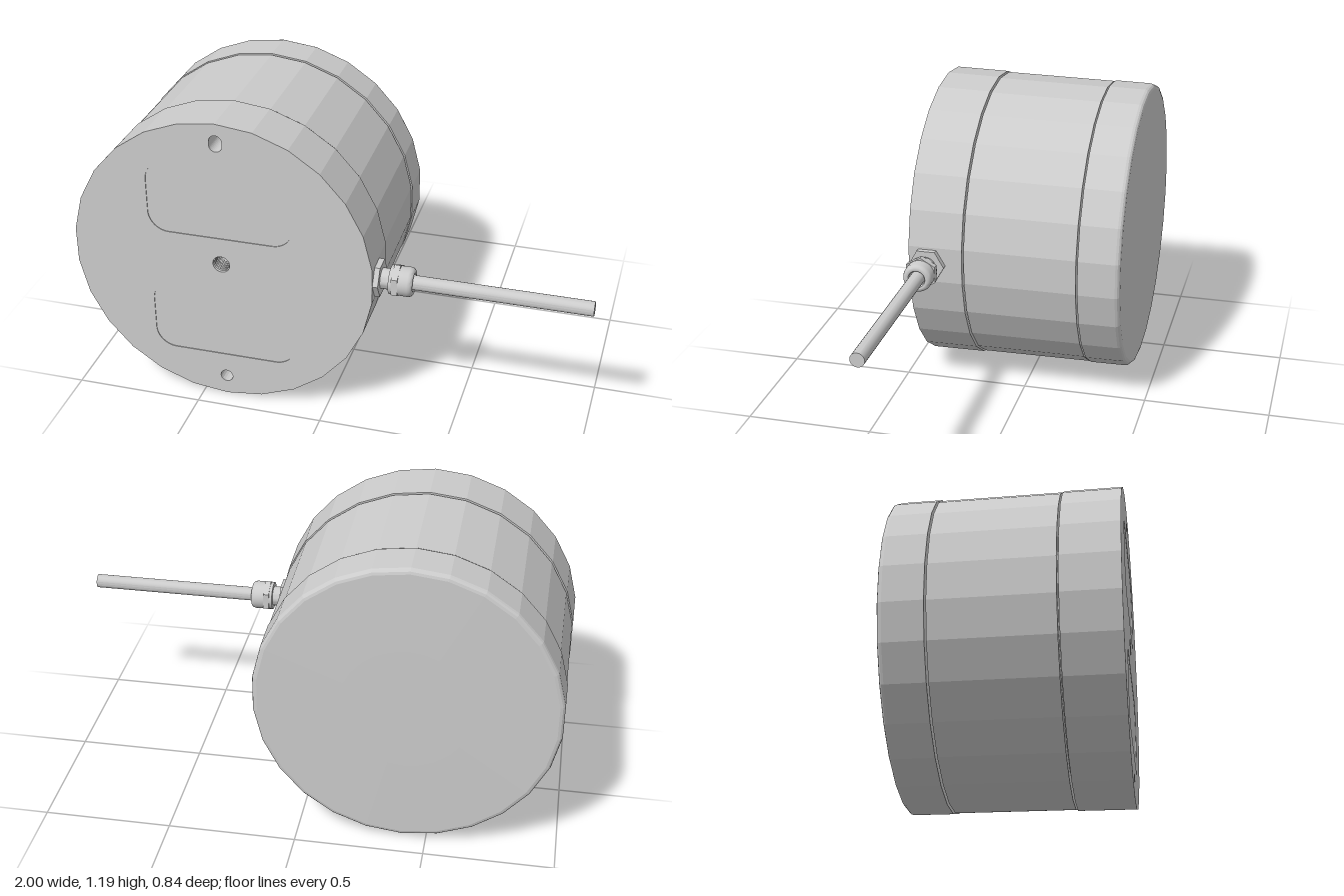
import * as THREE from 'three';
import { toCreasedNormals } from 'three/addons/utils/BufferGeometryUtils.js';

const CX = -0.405, CY = 0.6, SIDES = 26;
const GLAND_Z = 0.345;
const flat = new THREE.MeshStandardMaterial({ color: 0xcccccc, flatShading: true });
const smooth = new THREE.MeshStandardMaterial({ color: 0xcccccc });

function add(group, name, geometry, material = flat) {
  const mesh = new THREE.Mesh(geometry, material);
  mesh.name = name;
  group.add(mesh);
  return mesh;
}

const points = (list) => list.map(([r, h]) => new THREE.Vector2(r, h));

// Faceted disc outline with a vertex at top and bottom
function discShape(radius) {
  const pts = [];
  for (let i = 0; i < SIDES; i++) {
    const a = (i / SIDES) * Math.PI * 2;
    pts.push(new THREE.Vector2(Math.sin(a) * radius, -Math.cos(a) * radius));
  }
  return new THREE.Shape(pts);
}

function roundHole(x, y, r) {
  return new THREE.Path().absarc(x, y, r, 0, Math.PI * 2, true);
}

function slotHole(x, y, r, half) {
  const p = new THREE.Path();
  p.absarc(x, y + half, r, 0, Math.PI, false);
  p.absarc(x, y - half, r, Math.PI, Math.PI * 2, false);
  p.closePath();
  return p;
}

function pocketHole(w, y0, y1, r) {
  const p = new THREE.Path();
  p.absarc(w - r, y1 - r, r, 0, Math.PI / 2, false);
  p.absarc(-w + r, y1 - r, r, Math.PI / 2, Math.PI, false);
  p.absarc(-w + r, y0 + r, r, Math.PI, Math.PI * 1.5, false);
  p.absarc(w - r, y0 + r, r, Math.PI * 1.5, Math.PI * 2, false);
  p.closePath();
  return p;
}

function plate(radius, z0, z1, pockets) {
  const shape = discShape(radius);
  shape.holes.push(roundHole(0, 0.003, 0.034), roundHole(0, -0.513, 0.025), slotHole(0, 0.515, 0.025, 0.008));
  if (pockets) shape.holes.push(pocketHole(0.285, 0.115, 0.41, 0.08), pocketHole(0.285, -0.41, -0.115, 0.08));
  return new THREE.ExtrudeGeometry(shape, { depth: z1 - z0, bevelEnabled: false, curveSegments: 8 }).translate(0, 0, z0);
}

function createHousing() {
  const g = new THREE.Group();
  g.name = 'housing';
  g.position.set(CX, CY, 0);

  // Tapered shell: rounded back cap, two grooves, front ring
  const profile = points([
    [0, -0.418], [0.25, -0.417], [0.565, -0.414], [0.575, -0.411], [0.581, -0.405], [0.584, -0.396],
    [0.586, -0.25], [0.54, -0.25], [0.54, -0.243], [0.583, -0.243],
    [0.588, 0.2], [0.54, 0.2], [0.54, 0.207], [0.592, 0.207], [0.595, 0.417],
  ]);
  add(g, 'shell', new THREE.LatheGeometry(profile, SIDES).rotateX(Math.PI / 2));

  // Front face with shallow pockets and mounting holes
  add(g, 'frontFace', plate(0.595, 0.417, 0.42, true));
  add(g, 'frontPlate', plate(0.585, 0.3, 0.417, false));
  add(g, 'holeFloor', new THREE.ShapeGeometry(discShape(0.58)).translate(0, 0, 0.301));

  // Thread ridges in the centre hole
  for (let i = 0; i < 5; i++) {
    const ridge = add(g, 'threadRidge', new THREE.TorusGeometry(0.034, 0.004, 6, 20), smooth);
    ridge.position.set(0, 0.003, 0.405 - i * 0.014);
  }
  return g;
}

// Turned or prismatic pieces are laid along +x
function alongX(geometry) {
  return geometry.rotateZ(-Math.PI / 2);
}

function createCableGland() {
  const g = new THREE.Group();
  g.name = 'cableGland';
  g.position.set(0, CY, GLAND_Z);
  const rod = (r, x0, x1, sides) => alongX(new THREE.CylinderGeometry(r, r, x1 - x0, sides).translate(0, (x0 + x1) / 2, 0));

  add(g, 'baseNut', rod(0.072, 0.18, 0.206, 6));
  add(g, 'neck', toCreasedNormals(rod(0.04, 0.2, 0.245, 24), 0.6), smooth);
  add(g, 'collar', toCreasedNormals(rod(0.056, 0.24, 0.256, 24), 0.6), smooth);
  add(g, 'capNut', rod(0.066, 0.252, 0.276, 6).rotateX(Math.PI / 6));

  // Rounded clamping cap
  const cap = points([
    [0, 0.24], [0.056, 0.24], [0.057, 0.312], [0.054, 0.322], [0.048, 0.328], [0.04, 0.33], [0.034, 0.328], [0.03, 0.32],
  ]);
  add(g, 'cap', toCreasedNormals(alongX(new THREE.LatheGeometry(cap, 28)), 0.7), smooth);
  add(g, 'cable', toCreasedNormals(rod(0.028, 0.25, 1.0, 20), 0.6), smooth);
  return g;
}

export function createModel() {
  const model = new THREE.Group();
  model.name = 'sensorHousing';
  model.add(createHousing(), createCableGland());
  return model;
}
